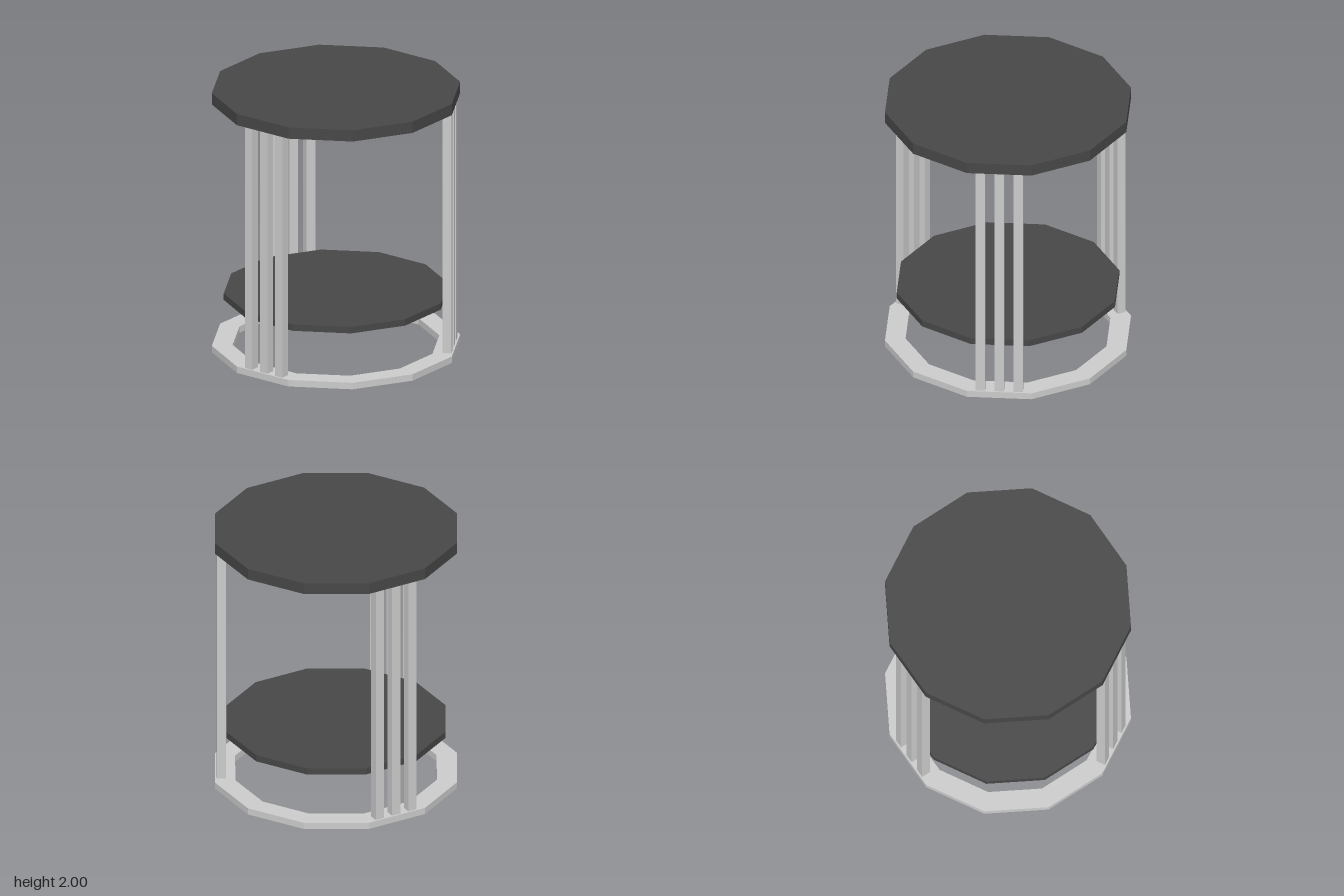
import * as THREE from 'three';

const SIDES = 12;
const STEP = Math.PI / SIDES; // half a side: puts a flat face on each axis

const grey = new THREE.MeshStandardMaterial({ color: 0xcccccc, flatShading: true });
const dark = new THREE.MeshStandardMaterial({ color: 0x474747, flatShading: true });

// Corners of the twelve-sided outline, from centre-to-flat distance
function outline(apothem) {
  const r = apothem / Math.cos(STEP);
  return Array.from({ length: SIDES }, (_, i) => {
    const a = STEP * (2 * i + 1);
    return new THREE.Vector2(r * Math.cos(a), r * Math.sin(a));
  });
}

// Horizontal twelve-sided slab, with an optional opening
function slab(name, apothem, y0, y1, material, holeApothem) {
  const shape = new THREE.Shape(outline(apothem));
  if (holeApothem) shape.holes.push(new THREE.Path(outline(holeApothem)));
  const geometry = new THREE.ExtrudeGeometry(shape, { depth: y1 - y0, bevelEnabled: false });
  geometry.rotateX(-Math.PI / 2).translate(0, y0, 0);
  const mesh = new THREE.Mesh(geometry, material);
  mesh.name = name;
  return mesh;
}

export function createModel() {
  const table = new THREE.Group();
  table.name = 'roundSideTable';

  table.add(
    slab('tabletop', 0.877, 1.913, 2, dark),
    slab('shelf', 0.793, 0.4, 0.45, dark),
    slab('baseRing', 0.877, 0, 0.05, grey, 0.73)
  );

  // Three legs, each a row of three upright slats
  const bottom = 0.05, top = 1.913;
  const slat = new THREE.BoxGeometry(0.066, top - bottom, 0.068);
  for (let i = 0; i < 3; i++) {
    const leg = new THREE.Group();
    leg.name = 'leg';
    for (const z of [-0.137, 0, 0.137]) {
      const mesh = new THREE.Mesh(slat, grey);
      mesh.name = 'legSlat';
      mesh.position.set(-0.832, (bottom + top) / 2, z);
      leg.add(mesh);
    }
    leg.rotation.y = (i * Math.PI * 2) / 3;
    table.add(leg);
  }
  return table;
}
